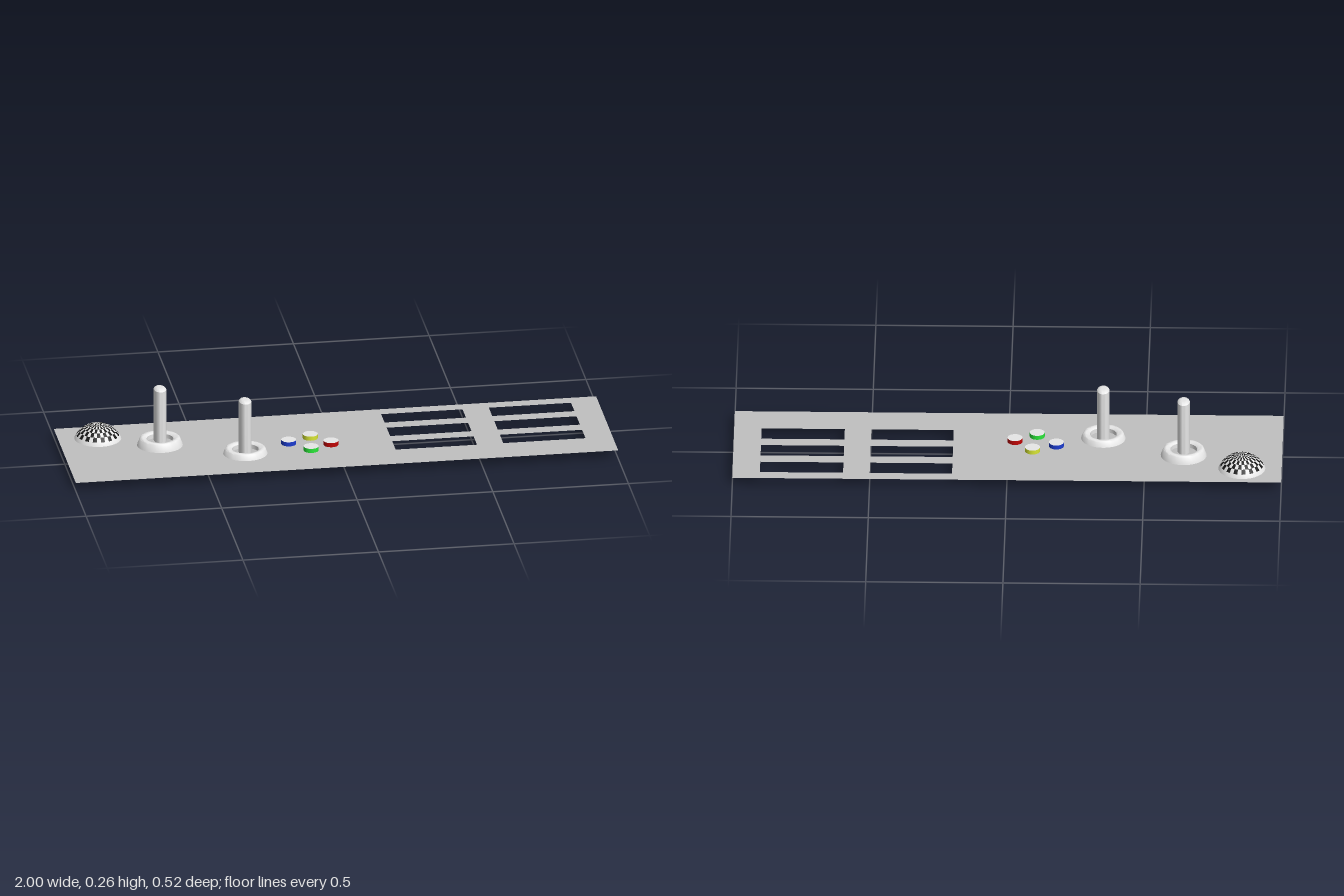
import * as THREE from 'three';
import { toCreasedNormals } from 'three/addons/utils/BufferGeometryUtils.js';

const PANEL_Y = 0.0325;

function material(name, color, side = THREE.FrontSide) {
  const m = new THREE.MeshStandardMaterial({ color, side });
  m.name = name;
  return m;
}

export function createModel() {
  const root = new THREE.Group();
  root.name = 'controlPanel';
  const panelGrey = material('panelGrey', 0xc0c0c0, THREE.DoubleSide);
  const paleGrey = material('paleGrey', 0xe8e8e8, THREE.DoubleSide);
  const black = material('black', 0x161616, THREE.DoubleSide);

  function add(parent, name, geometry, mat, x = 0, y = 0, z = 0) {
    const mesh = new THREE.Mesh(geometry, mat);
    mesh.name = name;
    mesh.position.set(x, y, z);
    parent.add(mesh);
    return mesh;
  }

  // Flat panel with two columns of three slots (shape y becomes -z)
  const rectangle = (path, x0, x1, z0, z1) => path
    .moveTo(x0, -z0).lineTo(x0, -z1).lineTo(x1, -z1).lineTo(x1, -z0).closePath();
  const sheet = new THREE.Shape();
  rectangle(sheet, -1, 1, -0.26, 0.26);
  for (const [x0, x1] of [[0.2, 0.5], [0.597, 0.9]]) {
    for (const z0 of [-0.213, -0.083, 0.047]) {
      const slot = new THREE.Path();
      rectangle(slot, x0, x1, z0, z0 + 0.08);
      sheet.holes.push(slot);
    }
  }
  add(root, 'panel', new THREE.ShapeGeometry(sheet).rotateX(-Math.PI / 2), panelGrey, 0, PANEL_Y, 0);

  // Joysticks: hollow oval collar with a rounded rim, and an oval stick with a domed tip
  const points = (list) => list.map(([r, y]) => new THREE.Vector2(r, y));
  const collar = toCreasedNormals(new THREE.LatheGeometry(points([
    [0.0855, 0], [0.078, 0.028], [0.0695, 0.051], [0.066, 0.0545],
    [0.059, 0.055], [0.051, 0.053], [0.046, 0.049], [0.046, 0.033],
  ]), 40), 0.8);
  collar.scale(1.06, 1, 1);
  const stick = toCreasedNormals(new THREE.LatheGeometry(points([
    [0.033, 0.033], [0.033, 0.234], [0.029, 0.238], [0.02, 0.241], [0.01, 0.2425], [0, 0.243],
  ]), 32), 0.6);
  stick.scale(0.69, 1, 1);
  for (const [name, x, y, z, stickY, stickZ] of [
    ['outerJoystick', -0.641, 0.008, -0.052, 0.01, 0],
    ['innerJoystick', -0.346, 0, 0.075, 0, -0.008],
  ]) {
    const joystick = new THREE.Group();
    joystick.name = name;
    joystick.position.set(x, y, z);
    add(joystick, 'collar', collar, paleGrey);
    add(joystick, 'stick', stick, paleGrey, 0, stickY, stickZ);
    root.add(joystick);
  }

  // Four round buttons with coloured sides and pale tops
  for (const [name, color, x, z] of [
    ['blue', 0x1c3cd0, -0.176, 0.01],
    ['yellow', 0xd8e636, -0.09, -0.031],
    ['green', 0x2cec3c, -0.105, 0.084],
    ['red', 0xc00404, -0.025, 0.042],
  ]) {
    const mat = material(name, color);
    add(root, name + 'Button', new THREE.CylinderGeometry(0.0275, 0.0275, 0.0165, 32),
      [mat, paleGrey, mat], x, PANEL_Y + 0.0078, z);
  }

  // Domed speaker: spherical cap with a checkered grille above a plain rim
  const columns = 32, rows = 6, step = Math.PI / 16;
  const dome = new THREE.SphereGeometry(0.0942, columns, rows, 0, Math.PI * 2, 0, rows * step);
  const index = dome.index.array;
  const darkFaces = [], lightFaces = [];
  let at = 0;
  for (let row = 0; row < rows; row++) {
    for (let col = 0; col < columns; col++) {
      const count = row === 0 ? 3 : 6;
      const dark = row < 5 && (row + col) % 2 === 0;
      (dark ? darkFaces : lightFaces).push(...index.slice(at, at + count));
      at += count;
    }
  }
  dome.setIndex([...lightFaces, ...darkFaces]);
  dome.clearGroups();
  dome.addGroup(0, lightFaces.length, 0);
  dome.addGroup(lightFaces.length, darkFaces.length, 1);
  add(root, 'speakerDome', dome, [paleGrey, black], -0.855, -0.006, -0.15);

  return root;
}
